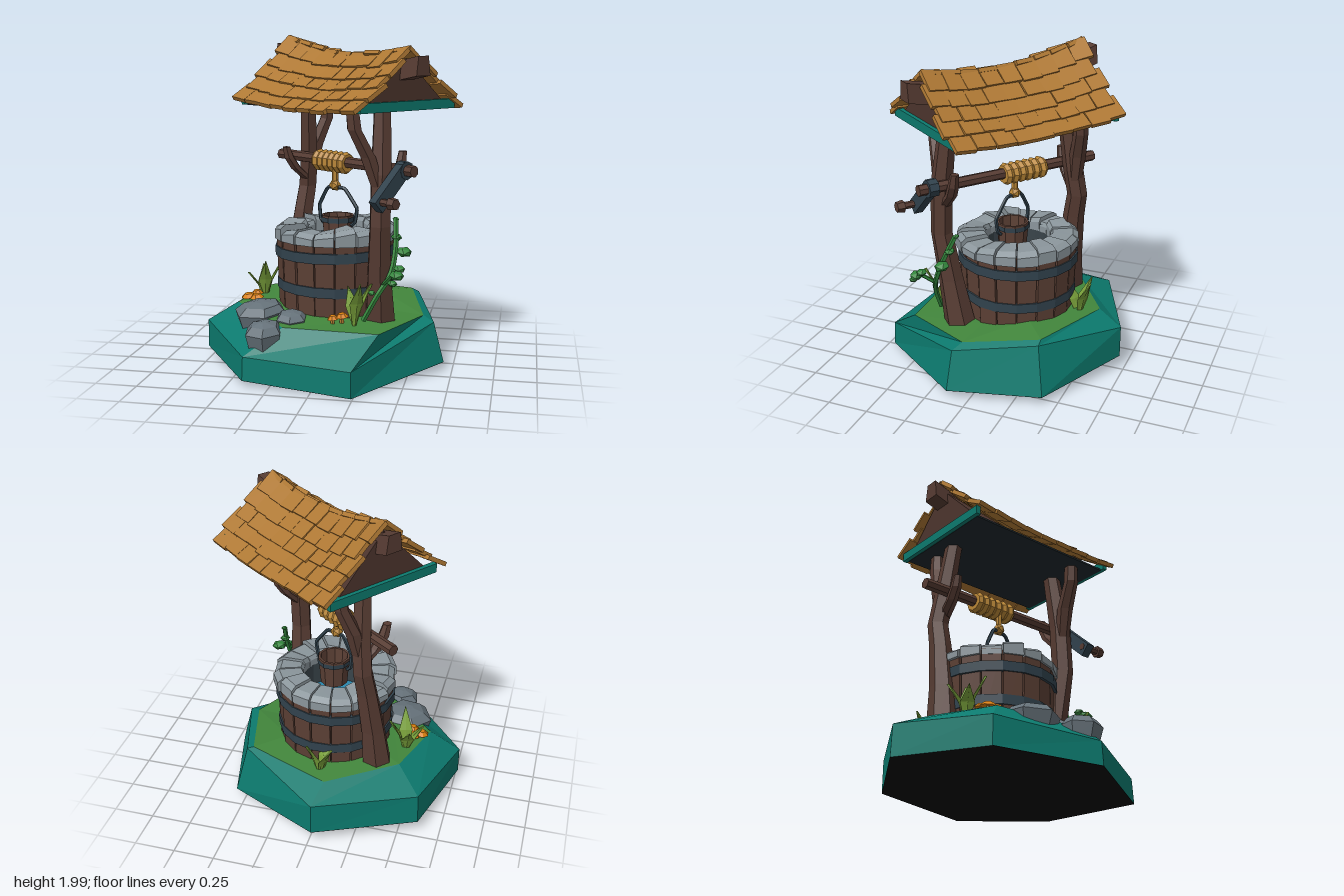
import * as THREE from 'three';

const WOOD = 0x573c33, PLANK = 0x5c4035, METAL = 0x31424d, STONE = 0x8b969c, SHINGLE = 0xae7834,
  TEAL = 0x0c7a6e, GRASS = 0x42863c, ROPE = 0xb98636, LEAF = 0x789f3a, VINE = 0x33863c, ORANGE = 0xd9800f;

let seed = 7;
const rnd = (a = 1) => { seed = (seed * 16807) % 2147483647; return (seed / 2147483647 - 0.5) * 2 * a; };
const mat = (color, side = THREE.FrontSide) => new THREE.MeshStandardMaterial({ color, flatShading: true, side });

function add(parent, name, geo, color, pos = [0, 0, 0], rot = [0, 0, 0], side) {
  const m = new THREE.Mesh(geo, mat(color, side));
  m.name = name;
  m.position.set(...pos);
  m.rotation.set(...rot);
  parent.add(m);
  return m;
}
function group(parent, name) {
  const g = new THREE.Group();
  g.name = name;
  parent.add(g);
  return g;
}

// Skin a list of equal-length rings, with optional fan caps
function loft(rings, capStart = true, capEnd = true) {
  const p = [], n = rings[0].length;
  const mid = r => [0, 1, 2].map(i => r.reduce((s, v) => s + v[i], 0) / n);
  const last = rings[rings.length - 1];
  for (let k = 0; k < n; k++) {
    const l = (k + 1) % n;
    for (let i = 0; i + 1 < rings.length; i++) {
      const a = rings[i][k], b = rings[i][l], c = rings[i + 1][k], d = rings[i + 1][l];
      p.push(...a, ...c, ...b, ...b, ...c, ...d);
    }
    if (capStart) p.push(...mid(rings[0]), ...rings[0][k], ...rings[0][l]);
    if (capEnd) p.push(...mid(last), ...last[l], ...last[k]);
  }
  const g = new THREE.BufferGeometry();
  g.setAttribute('position', new THREE.Float32BufferAttribute(p, 3));
  g.computeVertexNormals();
  return g;
}
// Bent timber through points [x, y, z, radius]
const limb = (pts, sides = 6) => loft(pts.map(([x, y, z, r]) => Array.from({ length: sides }, (_, k) => {
  const a = k / sides * Math.PI * 2 + 0.3;
  return [x + Math.cos(a) * r, y, z + Math.sin(a) * r];
})));
const tube = (pts, r, seg, tension = 0.5) => new THREE.TubeGeometry(
  new THREE.CatmullRomCurve3(pts.map(p => new THREE.Vector3(...p)), false, 'catmullrom', tension), seg, r, 5);

function buildIsland(root) {
  const g = group(root, 'island');
  // x, z, bottom y, rim y, rim inset, then grass edge x, z, y
  const rows = [
    [0.70, 0.13, 0.05, 0.29, 0.91, 0.57, 0.08, 0.32], [0.24, 0.72, 0.00, 0.15, 0.99, 0.36, 0.50, 0.31],
    [-0.41, 0.63, 0.03, 0.17, 0.99, -0.20, 0.50, 0.32], [-0.77, 0.12, 0.06, 0.23, 1, -0.58, 0.10, 0.35],
    [-0.62, -0.47, 0.09, 0.28, 0.99, -0.46, -0.30, 0.37], [-0.02, -0.72, 0.08, 0.28, 1, -0.06, -0.57, 0.36],
    [0.56, -0.42, 0.05, 0.35, 0.88, 0.45, -0.37, 0.37]];
  const bottom = rows.map(r => [r[0], r[2], r[1]]);
  const rim = rows.map(r => [r[0] * r[4], r[3], r[1] * r[4]]);
  const edge = rows.map(r => [r[5], r[7], r[6]]);
  add(g, 'bank', loft([bottom, rim, edge], false, false), TEAL);
  add(g, 'grass', loft([edge, edge.map(([x, y, z]) => [x * 0.6, y + 0.015, z * 0.6])], false, true), GRASS);
  add(g, 'underside', loft([bottom, bottom.map(([x, y, z]) => [x, y + 0.002, z])], true, false), 0x0a0a0a);
  // Boulders
  for (const [x, y, z, r, h, a] of [[-0.4, 0.33, 0.25, 0.16, 0.075, 0.2], [-0.31, 0.28, 0.51, 0.115, 0.075, 1], [-0.18, 0.33, 0.36, 0.095, 0.05, 2]])
    add(g, 'boulder', limb([[0, -h, 0, r * 0.85], [0, h * 0.2, 0, r], [0.01, h * 0.75, 0, r * 0.72], [0, h * 0.95, 0, r * 0.2]]), 0x66727a, [x, y, z], [0.06, a, 0.05]);
  // Mushrooms
  for (const [x, y, z, r] of [[-0.53, 0.38, 0.04, 0.05], [-0.47, 0.385, 0.07, 0.045], [-0.49, 0.39, -0.01, 0.04], [0.07, 0.36, 0.37, 0.035], [0.12, 0.37, 0.35, 0.04]]) {
    add(g, 'mushroomCap', new THREE.CylinderGeometry(r * 0.5, r, 0.022, 7), ORANGE, [x, y, z], [0.1, 0, 0.1]);
    add(g, 'mushroomStem', new THREE.CylinderGeometry(0.012, 0.015, 0.06, 5), 0xb07a30, [x, y - 0.035, z]);
  }
  // Leaf tufts: x, z, height, heading, count
  for (const [x, z, h, yaw, count] of [[-0.46, -0.1, 0.24, 0.3, 4], [0.2, 0.38, 0.24, 0.5, 3], [0.0, -0.45, 0.23, 2.6, 3]])
    for (let i = 0; i < count; i++) {
      const leaf = group(g, 'leafTuft');
      leaf.position.set(x, 0.35, z);
      leaf.rotation.y = yaw + i * 1.6;
      const blade = (y, o, k) => [[k, y, o], [0, y, o + 0.012], [-k, y, o], [0, y, o - 0.004]];
      const tall = h - i * 0.03;
      add(leaf, 'leaf', loft([blade(-0.03, 0, 0.012), blade(tall * 0.45, 0.035, 0.042), blade(tall, 0.1, 0.002)]), LEAF);
    }
}

function buildWell(root) {
  const g = group(root, 'well');
  g.position.set(0.005, 0, -0.05);
  const N = 18;
  for (let i = 0; i < N; i++) {
    const a = i / N * Math.PI * 2, r = 0.33 + rnd(0.006);
    const stave = add(g, 'stave', new THREE.BoxGeometry(0.114, 0.47, 0.04), PLANK, [Math.sin(a) * r, 0.56, Math.cos(a) * r]);
    stave.rotation.set(0.04, a, 0, 'YXZ');
  }
  add(g, 'barrelCore', new THREE.CylinderGeometry(0.325, 0.305, 0.46, N, 1, true), 0x33251f, [0, 0.56, 0]);
  // Metal hoops
  const hoop = r => new THREE.LatheGeometry([[r - 0.03, -0.03], [r, -0.03], [r, 0.03], [r - 0.03, 0.03]].map(p => new THREE.Vector2(...p)), N);
  add(g, 'upperHoop', hoop(0.372), METAL, [0, 0.69, 0], [0, Math.PI / N, 0.015]);
  add(g, 'lowerHoop', hoop(0.36), METAL, [0, 0.48, 0], [0, Math.PI / N, -0.015]);
  // Stone rim
  const S = 18;
  for (let i = 0; i < S; i++) {
    const a0 = (i + 0.03) / S * Math.PI * 2, a1 = (i + 0.97) / S * Math.PI * 2;
    const R = 0.375 + rnd(0.014), top = 0.842 + rnd(0.018), tilt = rnd(0.012);
    const quad = (y, ro, ri, t) => [[a0, ro, t], [a1, ro, -t], [a1, ri, -t], [a0, ri, t]]
      .map(([a, r, e]) => [Math.cos(a) * r, y + e, Math.sin(a) * r]);
    add(g, 'rimStone', loft([quad(0.76, R, 0.2, 0), quad(top - 0.025, R, 0.2, tilt), quad(top, R - 0.035, 0.215, tilt)]), STONE);
  }
  add(g, 'shaft', new THREE.CylinderGeometry(0.205, 0.205, 0.4, S, 1, true), 0x39444a, [0, 0.61, 0], [0, 0, 0], THREE.DoubleSide);
  add(g, 'water', new THREE.CylinderGeometry(0.205, 0.205, 0.02, S), 0x2c87ad, [0, 0.6, 0]);
}

function buildPosts(root) {
  const g = group(root, 'posts');
  add(g, 'frontPost', limb([[0.325, 0.28, 0.2, 0.1], [0.325, 0.6, 0.26, 0.077], [0.335, 0.9, 0.31, 0.066], [0.34, 1.2, 0.3, 0.066], [0.335, 1.68, 0.24, 0.05]]), WOOD);
  add(g, 'frontBrace', limb([[0.335, 1.08, 0.31, 0.04], [0.27, 1.3, 0.345, 0.05], [0.2, 1.46, 0.4, 0.045], [0.18, 1.66, 0.41, 0.038]]), WOOD);
  add(g, 'frontFork', limb([[0.345, 1.08, 0.28, 0.037], [0.4, 1.17, 0.21, 0.036], [0.435, 1.24, 0.18, 0.034], [0.445, 1.32, 0.165, 0.026]]), WOOD);
  add(g, 'backPost', limb([[-0.32, 0.28, -0.27, 0.1], [-0.29, 0.6, -0.29, 0.077], [-0.255, 0.88, -0.32, 0.066], [-0.235, 1.03, -0.345, 0.062], [-0.22, 1.2, -0.32, 0.062], [-0.21, 1.68, -0.25, 0.05]]), WOOD);
  add(g, 'backBrace', limb([[-0.22, 1.08, -0.33, 0.04], [-0.18, 1.3, -0.36, 0.05], [-0.12, 1.46, -0.395, 0.045], [-0.1, 1.66, -0.4, 0.038]]), WOOD);
  add(g, 'backFork', limb([[-0.23, 1.08, -0.31, 0.037], [-0.29, 1.15, -0.25, 0.036], [-0.325, 1.22, -0.215, 0.034], [-0.34, 1.29, -0.2, 0.026]]), WOOD);
  // Climbing vine
  add(g, 'vineStem', tube([[0.25, 0.35, 0.37], [0.33, 0.5, 0.365], [0.4, 0.62, 0.32], [0.42, 0.76, 0.26], [0.41, 0.92, 0.185]], 0.016, 14), VINE);
  add(g, 'vineShoot', tube([[0.36, 0.56, 0.34], [0.41, 0.62, 0.4], [0.45, 0.66, 0.43]], 0.012, 6), VINE);
  for (const [x, y, z, r] of [[0.45, 0.64, 0.43, 0.045], [0.43, 0.6, 0.46, 0.03], [0.47, 0.74, 0.25, 0.048], [0.42, 0.82, 0.22, 0.034], [0.46, 0.67, 0.39, 0.035], [0.41, 0.92, 0.18, 0.02], [0.3, 0.52, 0.38, 0.022]])
    add(g, 'vineLeaf', new THREE.IcosahedronGeometry(r, 0), VINE, [x, y, z], [0.3, x * 9, 0.2]).scale.y = 0.6;
}

function buildWinch(frame, root) {
  const g = group(frame, 'winch'), AX = -0.045, along = [0, 0, Math.PI / 2];
  add(g, 'axle', new THREE.CylinderGeometry(0.034, 0.034, 1.2, 7), WOOD, [0.04, 1.225, AX], along);
  for (let i = 0; i < 6; i++)
    add(g, 'ropeCoil', new THREE.TorusGeometry(0.042, 0.027, 6, 9), ROPE, [-0.175 + i * 0.047, 1.22, AX], [0, Math.PI / 2 + 0.08, 0]);
  // Crank
  add(g, 'crankHub', new THREE.CylinderGeometry(0.054, 0.054, 0.06, 8), METAL, [0.555, 1.225, AX], along);
  add(g, 'crankArm', new THREE.BoxGeometry(0.055, 0.085, 0.31), METAL, [0.555, 1.14, 0.06], [0.75, 0, 0]);
  add(g, 'crankPeg', new THREE.CylinderGeometry(0.022, 0.022, 0.15, 6), WOOD, [0.6, 1.065, 0.15], along);
  add(g, 'crankKnob', new THREE.CylinderGeometry(0.038, 0.032, 0.045, 6), WOOD, [0.67, 1.065, 0.15], along);
  // Rope and bucket
  const b = group(root, 'bucket');
  b.position.set(0.025, 0, -0.02);
  b.rotation.y = -0.4;
  add(b, 'rope', new THREE.CylinderGeometry(0.02, 0.02, 0.13, 6), ROPE, [-0.02, 1.14, 0]);
  add(b, 'knot', new THREE.IcosahedronGeometry(0.038, 0), ROPE, [-0.02, 1.08, 0]);
  add(b, 'handle', tube([[-0.1, 0.84, 0], [-0.125, 0.86, 0], [-0.135, 0.95, 0], [-0.07, 1.065, 0], [0.05, 1.065, 0], [0.14, 0.95, 0], [0.125, 0.86, 0], [0.1, 0.84, 0]], 0.012, 35, 0.1), METAL);
  const pail = [[0, 0.72], [0.085, 0.72], [0.1, 0.9], [0.085, 0.9], [0.075, 0.75], [0, 0.75]];
  add(b, 'pail', new THREE.LatheGeometry(pail.map(p => new THREE.Vector2(...p)), 10), PLANK);
  add(b, 'pailHoop', new THREE.CylinderGeometry(0.106, 0.104, 0.03, 10, 1, true), METAL, [0, 0.875, 0], [0, 0, 0], THREE.DoubleSide);
}

function buildRoof(frame) {
  const g = group(frame, 'roof');
  g.position.z = -0.045;
  const t = u => (u - 0.06) / 0.56;
  const ridge = u => 1.862 + 0.08 * t(u) ** 2 - 0.035 * t(u);
  const eave = u => 1.56 + 0.03 * t(u) ** 2 - 0.015 * t(u);
  const height = (u, w) => ridge(u) + (eave(u) - ridge(u)) * w - 0.015 * Math.sin(Math.PI * w);
  const half = 0.395;
  const us = [-0.45, -0.2, 0.06, 0.32, 0.57];
  add(g, 'gableBody', loft(us.map(u => [[u, 1.57, 0.345], [u, ridge(u) - 0.04, 0], [u, 1.57, -0.345]])), 0x4d352d);
  add(g, 'ceiling', new THREE.BoxGeometry(1.02, 0.012, 0.7), 0x1e272c, [0.06, 1.568, 0]);
  for (const u of [-0.46, 0.58]) add(g, 'gableBoard', new THREE.BoxGeometry(0.03, 0.055, 0.75), TEAL, [u, 1.592, 0]);
  // Sagging ridge beam
  const ends = [-0.54, -0.25, 0.06, 0.4, 0.7];
  add(g, 'ridgeBeam', loft(ends.map(u => {
    const y = ridge(u) - 0.12;
    return [[u, y - 0.045, 0.055], [u, y + 0.065, 0.04], [u, y + 0.065, -0.04], [u, y - 0.045, -0.055]];
  })), WOOD);
  // Overlapping shingles, mirrored on both slopes
  const rows = 5, cols = 9;
  for (const s of [1, -1])
    for (let j = 0; j < rows; j++)
      for (let i = 0; i < cols; i++) {
        const w = (j + 0.55) / rows + rnd(0.012);
        const start = -0.455 - 0.03 * w, step = (0.615 - start) / cols;
        const u = start + (i + 0.5) * step + (j % 2 ? 0.018 : -0.012) + rnd(0.006);
        const slope = Math.atan2(height(u, w - 0.1) - height(u, w + 0.1), 0.2 * half) - 0.1 + rnd(0.03);
        const run = Math.atan2(height(u + 0.05, w) - height(u - 0.05, w), 0.1);
        add(g, 'shingle', new THREE.BoxGeometry(step + rnd(0.006), 0.026, 0.148 + rnd(0.012)), SHINGLE,
          [u, height(u, w) + 0.016, s * half * w], [s * slope, rnd(0.04), run + rnd(0.03)]);
      }
}

export function createModel() {
  const root = new THREE.Group();
  root.name = 'wishingWell';
  buildIsland(root);
  buildWell(root);
  buildPosts(root);
  // Roof and winch share a diagonal heading
  const frame = group(root, 'diagonalFrame');
  frame.rotation.y = -0.655;
  buildWinch(frame, root);
  buildRoof(frame);
  return root;
}
